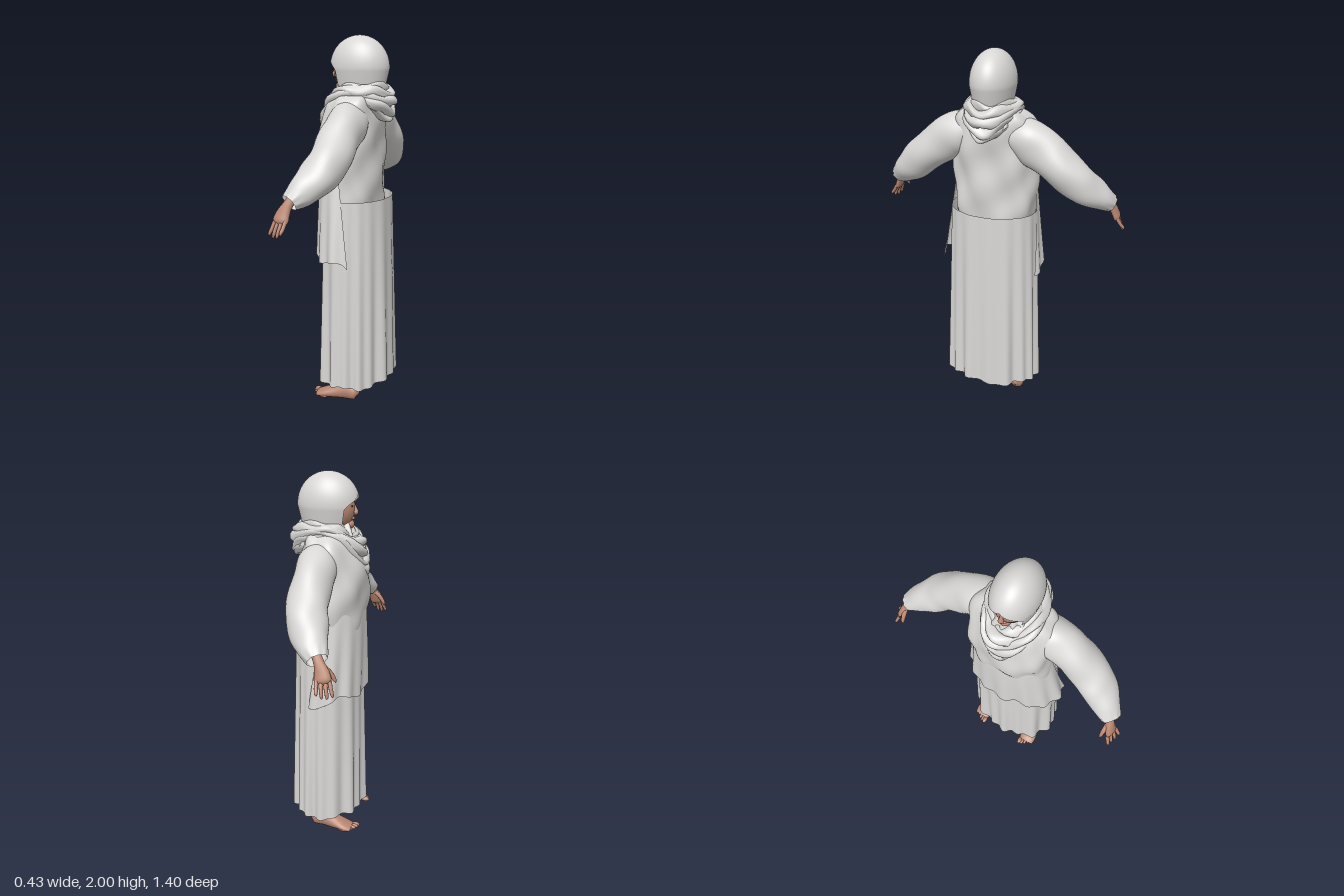
import * as THREE from 'three';

const cloth = new THREE.MeshStandardMaterial({ color: 0xd8d7d5, side: THREE.DoubleSide });
cloth.name = 'pale grey cloth';
const skin = new THREE.MeshStandardMaterial({ color: 0xb98670 });
skin.name = 'skin';
const dark = new THREE.MeshStandardMaterial({ color: 0x4a3029 });
dark.name = 'dark brown';

const { sin, cos, abs, sign, pow, PI } = Math;
const { lerp, smoothstep } = THREE.MathUtils;
const V = (x, y, z) => new THREE.Vector3(x, y, z);

// Smooth interpolation through rows of numbers, t from 0 to 1
function sample(rows, t) {
  const n = rows.length - 1, k = Math.min(Math.floor(t * n), n - 1), f = t * n - k;
  const at = i => rows[Math.max(0, Math.min(n, i))];
  return rows[k].map((b, c) => {
    const m0 = (at(k + 1)[c] - at(k - 1)[c]) / 2, m1 = (at(k + 2)[c] - b) / 2, e = at(k + 1)[c];
    return b + m0 * f + (3 * (e - b) - 2 * m0 - m1) * f * f + (2 * (b - e) + m0 + m1) * f * f * f;
  });
}

// Grid surface from fn(u, v); u and v can each wrap round
function surface(name, mat, nu, nv, fn, wrapU = true, wrapV = false) {
  const cu = wrapU ? nu : nu + 1, cv = wrapV ? nv : nv + 1, pos = [], idx = [];
  for (let j = 0; j < cv; j++) for (let i = 0; i < cu; i++) pos.push(...fn(i / nu, j / nv));
  for (let j = 0; j < nv; j++) for (let i = 0; i < nu; i++) {
    const i2 = (i + 1) % cu, j2 = (j + 1) % cv;
    const a = j * cu + i, b = j * cu + i2, c = j2 * cu + i2, d = j2 * cu + i;
    idx.push(a, b, c, a, c, d);
  }
  const g = new THREE.BufferGeometry();
  g.setAttribute('position', new THREE.Float32BufferAttribute(pos, 3));
  g.setIndex(idx);
  g.computeVertexNormals();
  const m = new THREE.Mesh(g, mat);
  m.name = name;
  return m;
}

// Tapered limb through rows [x, y, z, radius along ref, other radius]
function limb(name, mat, rows, { nu = 12, nv = 16, ref = V(1, 0, 0), fold = () => 0 } = {}) {
  return surface(name, mat, nu, nv, (u, v) => {
    const [x, y, z, ra, rb] = sample(rows, v);
    const p0 = sample(rows, Math.max(0, v - 0.01)), p1 = sample(rows, Math.min(1, v + 0.01));
    const T = V(p1[0] - p0[0], p1[1] - p0[1], p1[2] - p0[2]).normalize();
    const N = ref.clone().addScaledVector(T, -T.dot(ref)).normalize();
    const B = T.clone().cross(N), a = u * 2 * PI, k = 1 + fold(a, v);
    return V(x, y, z).addScaledVector(N, cos(a) * ra * k).addScaledVector(B, sin(a) * rb * k).toArray();
  });
}

// Rounded ring: a = 0 points to the wearer's front (-x)
const sq = (c, p) => sign(c) * pow(abs(c), p);
const ring = (a, cx, hx, hz, p) => [cx - hx * sq(cos(a), p), hz * sq(sin(a), p)];

function ball(name, mat, x, y, z, sx, sy, sz) {
  const m = new THREE.Mesh(new THREE.SphereGeometry(1, 20, 14), mat);
  m.position.set(x, y, z);
  m.scale.set(sx, sy, sz);
  m.name = name;
  return m;
}

function makeSkirt() {
  return surface('skirt', cloth, 200, 24, (u, v) => {
    const a = u * 2 * PI, amp = 0.002 + 0.014 * v;
    const f = amp * (0.6 * sin(16 * a + sin(3 * a)) + 0.5 * sin(9 * a + 1));
    const [x, z] = ring(a, 0.004, 0.178 + 0.022 * v + f, 0.24 + 0.032 * v + f, 0.99);
    return [x, lerp(1.15, 0.108 + 0.008 * sin(5 * a), v), z];
  });
}

// Closed bodice and the open-backed tunic tail hanging over the skirt
function makeTunic() {
  const g = new THREE.Group();
  g.name = 'tunic';
  const rows = [
    [1.06, -0.02, 0.14, 0.2], [1.15, -0.02, 0.15, 0.222], [1.29, -0.03, 0.16, 0.228],
    [1.42, -0.035, 0.165, 0.23], [1.53, -0.025, 0.158, 0.225], [1.62, -0.006, 0.138, 0.22],
    [1.68, 0.004, 0.11, 0.18], [1.73, 0.01, 0.07, 0.08]];
  g.add(surface('bodice', cloth, 96, 40, (u, v) => {
    const a = u * 2 * PI, [y, cx, hx, hz] = sample(rows, v);
    const f = 0.006 * sin(7 * a + 14 * y) + 0.005 * sin(4 * a - 23 * y);
    const [x, z] = ring(a, cx, hx + f, hz + f, 0.88);
    return [x, y, z];
  }));
  g.add(surface('tunicTail', cloth, 90, 22, (u, v) => {
    const s = u * 2 - 1, a = s * lerp(1.6, 1.86, v);
    const hem = 0.84 + 0.02 * sin(9 * s) - 0.045 * pow(abs(s), 4);
    const f = 0.008 * v * (sin(14 * a) + 0.6 * sin(9 * a + 1));
    const [x, z] = ring(a, lerp(-0.025, 0, v), lerp(0.16, 0.197, pow(v, 0.7)) + f,
      lerp(0.226, s > 0 ? 0.3 : 0.275, v) + f, 0.95);
    return [x, lerp(1.32, hem, v), z];
  }, false));
  return g;
}

function makeArm(s) {
  const g = new THREE.Group();
  g.name = s > 0 ? 'rightArm' : 'leftArm';
  const L = (name, mat, rows, opt) =>
    g.add(limb(name, mat, rows.map(([x, y, z, a, b]) => [x, y, z * s, a, b]), opt));
  // Baggy sleeve gathered at the cuff
  L('sleeve', cloth, [
    [0.015, 1.58, 0.1, 0.09, 0.08], [0.02, 1.55, 0.19, 0.102, 0.115], [0.02, 1.49, 0.29, 0.102, 0.112],
    [0.016, 1.4, 0.4, 0.104, 0.102], [-0.012, 1.325, 0.485, 0.1, 0.092],
    [-0.056, 1.264, 0.565, 0.079, 0.07], [-0.095, 1.22, 0.623, 0.05, 0.042]], {
    nu: 40, nv: 60,
    fold: (a, v) => 0.022 * sin(3 * a + 18 * v) + 0.016 * sin(2 * a - 25 * v)
      + 0.05 * smoothstep(v, 0.85, 1) * sin(9 * a) });
  L('palm', skin, [
    [-0.08, 1.25, 0.6, 0.024, 0.02], [-0.105, 1.205, 0.622, 0.027, 0.021],
    [-0.122, 1.165, 0.638, 0.038, 0.02], [-0.13, 1.13, 0.652, 0.04, 0.017],
    [-0.133, 1.115, 0.658, 0.002, 0.002]]);
  for (let k = 0; k < 4; k++) {
    const bx = -0.16 + 0.02 * k, tx = -0.18 + 0.024 * k, len = [0.008, 0, 0.002, 0.018][k];
    const bz = 0.643 + 0.004 * k, tz = 0.668 + 0.008 * k;
    L('finger', skin, [
      [bx, 1.135, bz, 0.011, 0.011], [lerp(bx, tx, 0.5), 1.1, lerp(bz, tz, 0.6), 0.01, 0.01],
      [tx, 1.064 + len, tz, 0.008, 0.008], [tx, 1.052 + len, tz, 0.001, 0.001]], { nu: 8, nv: 10 });
  }
  L('thumb', skin, [
    [-0.12, 1.195, 0.62, 0.012, 0.012], [-0.155, 1.165, 0.618, 0.013, 0.013],
    [-0.178, 1.13, 0.616, 0.009, 0.009], [-0.184, 1.116, 0.617, 0.001, 0.001]], { nu: 8, nv: 10 });
  return g;
}

function makeLeg(s) {
  const g = new THREE.Group(), z = 0.16 * s;
  g.name = s > 0 ? 'rightLeg' : 'leftLeg';
  g.add(limb('shin', skin, [
    [0.015, 0.04, z, 0.044, 0.036], [0.015, 0.1, z, 0.042, 0.036], [0.02, 0.2, z, 0.046, 0.042],
    [0.02, 0.34, z * 0.95, 0.055, 0.052], [0.01, 0.5, z * 0.85, 0.05, 0.05]]));
  g.add(limb('foot', skin, [
    [0.07, 0.034, z, 0.002, 0.002], [0.056, 0.04, z, 0.034, 0.038], [0, 0.052, z, 0.041, 0.052],
    [-0.06, 0.04, z + 0.006 * s, 0.046, 0.04], [-0.13, 0.024, z + 0.012 * s, 0.052, 0.024],
    [-0.168, 0.016, z + 0.013 * s, 0.046, 0.015]], { nu: 16, nv: 24, ref: V(0, 0, 1) }));
  for (let k = 0; k < 5; k++)
    g.add(ball('toe', skin, -0.182 + 0.0035 * k * k, 0.014, z + s * (-0.022 + 0.0175 * k),
      0.026, k ? 0.012 : 0.014, k ? 0.01 : 0.015));
  return g;
}

function makeHead() {
  const g = new THREE.Group();
  g.name = 'head';
  // Smooth hood with an opening for the face
  g.add(surface('hood', cloth, 72, 48, (u, v) => {
    const th = v * 2.35, r = sin(Math.min(th, 1.62)) * (th > 1.62 ? lerp(1, 0.8, (th - 1.62) / 0.73) : 1);
    const y = 1.835 + (th < PI / 2 ? 0.165 : 0.19) * cos(th);
    const open = 0.88 * pow(smoothstep(1.89 - y, 0, 0.075), 0.6);
    const a = lerp(open, 2 * PI - open, u);
    return [0.012 - 0.163 * r * cos(a), y, 0.118 * r * sin(a)];
  }, false));
  // Face
  g.add(ball('face', skin, -0.023, 1.815, 0, 0.105, 0.115, 0.09));
  g.add(ball('chin', skin, -0.095, 1.735, 0, 0.03, 0.025, 0.03));
  g.add(limb('nose', skin, [
    [-0.117, 1.845, 0, 0.006, 0.008], [-0.127, 1.815, 0, 0.011, 0.01],
    [-0.131, 1.795, 0, 0.014, 0.015], [-0.12, 1.786, 0, 0.002, 0.004]]));
  g.add(ball('lips', skin, -0.116, 1.766, 0, 0.01, 0.008, 0.022));
  for (const s of [1, -1]) g.add(ball('eye', dark, -0.119, 1.832, 0.032 * s, 0.004, 0.004, 0.011));
  g.add(limb('neck', skin, [[0.01, 1.6, 0, 0.06, 0.055], [0, 1.8, 0, 0.06, 0.055]]));
  return g;
}

// Scarf of loose rolls that dip at front and back
function makeScarf() {
  const g = new THREE.Group();
  g.name = 'scarf';
  const dipAt = (a, f, b) => (cos(a) > 0 ? f : b) * pow(abs(cos(a)), 1.6);
  g.add(surface('cowl', cloth, 96, 20, (u, v) => {
    const a = u * 2 * PI, f = 0.006 * sin(15 * a + 6 * v), w = pow(v, 0.7);
    const [x, z] = ring(a, 0, lerp(0.09, 0.185, w) + f, lerp(0.085, 0.15, w) + f, 1);
    return [x, lerp(1.75, 1.68, v) - dipAt(a, 0.15, 0.09) * v + f, z];
  }));
  const rolls = [ // height, front reach, back reach, half width, front dip, back dip, thickness
    [1.733, 0.115, 0.142, 0.102, 0.06, 0.0, 0.026], [1.722, 0.152, 0.172, 0.12, 0.08, 0.02, 0.028],
    [1.712, 0.172, 0.187, 0.124, 0.115, 0.05, 0.029], [1.702, 0.184, 0.184, 0.12, 0.16, 0.09, 0.028],
    [1.692, 0.178, 0.172, 0.112, 0.195, 0.112, 0.025]];
  rolls.forEach(([y0, fx, bx, hz, fd, bd, r], k) => g.add(surface('scarfRoll', cloth, 16, 96, (u, v) => {
    const a = v * 2 * PI, b = u * 2 * PI;
    const R = r * (1 + 0.18 * sin(3 * a + 2 * k) + 0.14 * sin(3 * b + 4 * a + k) + 0.08 * sin(2 * b - 5 * a));
    const out = 1 + 0.035 * sin(4 * a + 1.7 * k), d = R * cos(b);
    const x = -cos(a) * (lerp(bx, fx, 0.5 + 0.5 * cos(a)) * out + d);
    return [x, y0 - dipAt(a, fd, bd) + 0.008 * sin(5 * a + 2.3 * k) + R * sin(b), sin(a) * (hz * out + d)];
  }, true, true)));
  return g;
}

export function createModel() {
  const model = new THREE.Group();
  model.name = 'robedFigure';
  model.add(makeSkirt(), makeTunic(), makeHead(), makeScarf());
  for (const s of [1, -1]) model.add(makeArm(s), makeLeg(s));
  return model;
}
